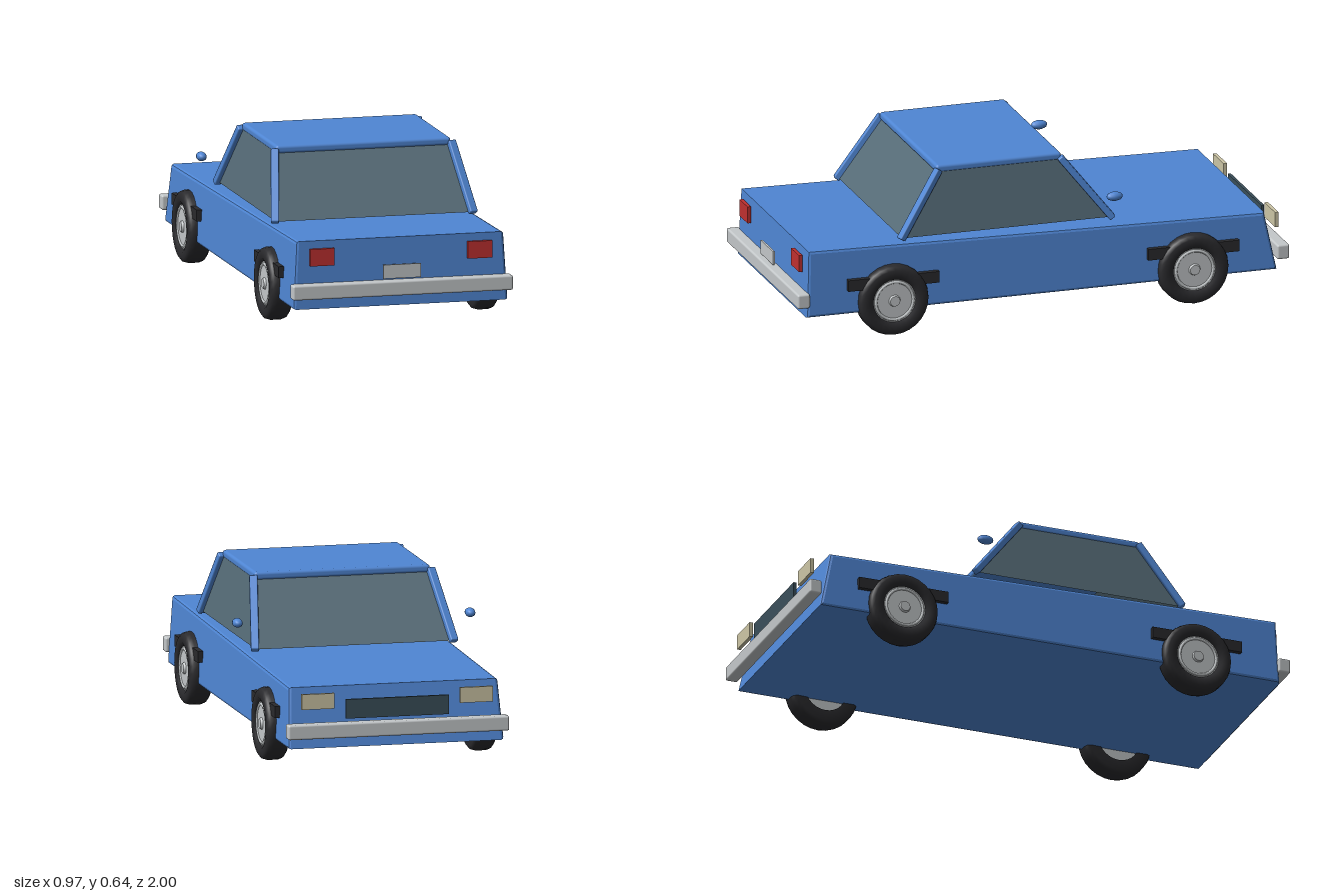
import * as THREE from 'three';
import { RoundedBoxGeometry } from 'three/addons/geometries/RoundedBoxGeometry.js';

export function createModel() {
  const car = new THREE.Group();
  car.name = 'car';

  const material = (name, color, side = THREE.FrontSide) => {
    const m = new THREE.MeshStandardMaterial({ color, side });
    m.name = name;
    return m;
  };
  const paint = material('blue paint', 0x4f86d4);
  const glass = material('tinted glass', 0x566c78, THREE.DoubleSide);
  const rubber = material('black rubber', 0x2a2a2d);
  const chrome = material('chrome', 0xc4c8ca);
  const red = material('red lens', 0xc03030);
  const lamp = material('warm lamp', 0xcdc6a6);
  const grilleDark = material('grille dark', 0x3a4f5a);

  const add = (name, geometry, mat, x = 0, y = 0, z = 0, parent = car) => {
    const mesh = new THREE.Mesh(geometry, mat);
    mesh.name = name;
    mesh.position.set(x, y, z);
    parent.add(mesh);
    return mesh;
  };
  const box = (w, h, d) => new THREE.BoxGeometry(w, h, d);

  // Lower body: side profile extruded across the car, narrowing upward
  const bevel = 0.012, width = 0.86;
  const profile = new THREE.Shape([
    [0.96, 0.1], [0.95, 0.366], [-0.905, 0.333], [-0.953, 0.1],
  ].map(([z, y]) => new THREE.Vector2(z, y)));
  const bodyGeo = new THREE.ExtrudeGeometry(profile, {
    depth: width - 2 * bevel, bevelThickness: bevel, bevelSize: bevel,
    bevelOffset: -bevel, bevelSegments: 2,
  });
  bodyGeo.translate(0, 0, bevel - width / 2);
  bodyGeo.rotateY(-Math.PI / 2);
  const p = bodyGeo.attributes.position;
  for (let i = 0; i < p.count; i++) {
    p.setX(i, p.getX(i) * (1 - 0.035 * (p.getY(i) - 0.1) / 0.26));
  }
  bodyGeo.computeVertexNormals();
  add('body', bodyGeo, paint);

  // Cabin: roof slab above four glass panes
  add('roof', new RoundedBoxGeometry(0.7, 0.032, 0.51, 2, 0.012), paint, 0, 0.624, 0.153);
  const low = [[-0.39, 0.372, 0.56], [0.39, 0.372, 0.56], [0.39, 0.372, -0.285], [-0.39, 0.372, -0.285]];
  const high = [[-0.347, 0.618, 0.398], [0.347, 0.618, 0.398], [0.347, 0.618, -0.092], [-0.347, 0.618, -0.092]];
  ['rearWindow', 'leftWindows', 'windscreen', 'rightWindows'].forEach((name, i) => {
    const j = (i + 1) % 4;
    const g = new THREE.BufferGeometry();
    g.setAttribute('position', new THREE.Float32BufferAttribute(
      [low[i], low[j], high[j], low[i], high[j], high[i]].flat(), 3));
    g.computeVertexNormals();
    add(name, g, glass);
  });

  // Sloping corner pillars
  for (const s of [-1, 1]) {
    for (const [name, z0, z1] of [['rearPillar', 0.562, 0.405], ['frontPillar', -0.288, -0.1]]) {
      const a = new THREE.Vector3(s * 0.395, 0.378, z0);
      const b = new THREE.Vector3(s * 0.354, 0.616, z1);
      const pillar = add(name, new RoundedBoxGeometry(0.032, 0.026, a.distanceTo(b) + 0.02, 1, 0.005), paint);
      pillar.position.copy(a).lerp(b, 0.5);
      pillar.lookAt(b);
    }
  }

  // Wheels with hubcaps, and the dark bar above each one
  const tyreGeo = new THREE.LatheGeometry([
    [0.085, -0.043], [0.125, -0.045], [0.137, -0.036], [0.142, -0.02],
    [0.142, 0.02], [0.137, 0.036], [0.125, 0.045], [0.1, 0.045], [0.085, 0.034], [0.085, -0.043],
  ].map(([r, y]) => new THREE.Vector2(r, y)), 28);
  const discGeo = new THREE.CylinderGeometry(0.086, 0.086, 0.07, 28);
  const rimGeo = new THREE.TorusGeometry(0.076, 0.006, 6, 28).rotateX(Math.PI / 2);
  const capGeo = new THREE.CylinderGeometry(0.02, 0.024, 0.01, 16);
  for (const s of [-1, 1]) {
    for (const z of [-0.61, 0.61]) {
      const wheel = new THREE.Group();
      wheel.name = (z < 0 ? 'front' : 'rear') + 'Wheel';
      wheel.position.set(s * 0.414, 0.142, z);
      wheel.rotation.z = -s * Math.PI / 2;
      car.add(wheel);
      add('tyre', tyreGeo, rubber, 0, 0, 0, wheel);
      add('hubcap', discGeo, chrome, 0, 0, 0, wheel);
      add('hubcapRim', rimGeo, chrome, 0, 0.035, 0, wheel);
      add('hubcapCentre', capGeo, chrome, 0, 0.039, 0, wheel);
      add('archBar', box(0.03, 0.045, 0.37), rubber, s * 0.428, 0.218, z);
    }
    // Door mirrors
    const mirror = add('mirror', new THREE.SphereGeometry(0.02, 12, 8), paint, s * 0.463, 0.479, -0.28);
    mirror.scale.set(1, 0.9, 1.65);
    // Lamps
    add('tailLight', box(0.097, 0.067, 0.014), red, s * 0.315, 0.303, 0.964);
    add('headlight', box(0.13, 0.06, 0.014), lamp, s * 0.315, 0.286, -0.967);
  }

  // Bumpers, number plate and grille
  for (const s of [-1, 1]) {
    add(s < 0 ? 'frontBumper' : 'rearBumper',
      new RoundedBoxGeometry(0.88, 0.058, 0.05, 2, 0.008), chrome, 0, 0.172, s * 0.975);
  }
  add('numberPlate', box(0.15, 0.054, 0.008), chrome, 0, 0.236, 0.977);
  add('grille', box(0.41, 0.075, 0.012), grilleDark, 0, 0.252, -0.968);

  return car;
}
